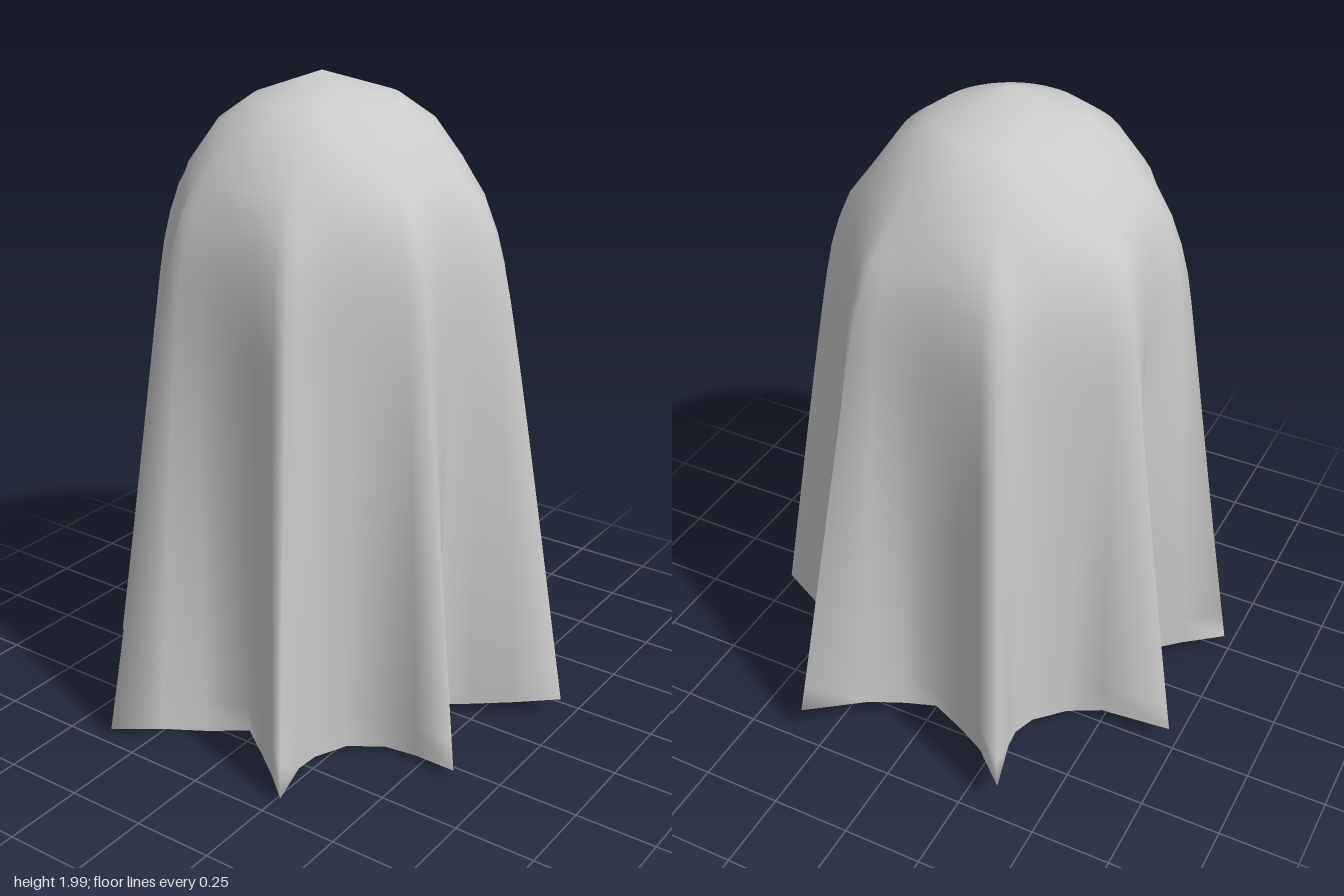
import * as THREE from 'three';

// Hem outline seen from above (x, z), one line per fold: tip, then the valley after it
const HEM = [
  [0.725, -0.17], [0.60, -0.10], [0.48, -0.04], [0.37, 0.03], [0.45, 0.12], [0.53, 0.21],
  [0.625, 0.31], [0.48, 0.29], [0.37, 0.29], [0.27, 0.35], [0.22, 0.45], [0.22, 0.53],
  [0.275, 0.695], [0.18, 0.61], [0.08, 0.53], [-0.03, 0.45], [-0.14, 0.53], [-0.25, 0.61],
  [-0.365, 0.715], [-0.30, 0.51], [-0.30, 0.42], [-0.35, 0.34], [-0.42, 0.30], [-0.52, 0.27],
  [-0.73, 0.26], [-0.61, 0.18], [-0.51, 0.10], [-0.41, 0.03], [-0.50, -0.06], [-0.60, -0.14],
  [-0.73, -0.24], [-0.50, -0.24], [-0.40, -0.29], [-0.32, -0.38], [-0.30, -0.46], [-0.31, -0.53],
  [-0.365, -0.715], [-0.24, -0.59], [-0.14, -0.53], [-0.02, -0.47], [0.07, -0.51], [0.17, -0.57],
  [0.325, -0.725], [0.31, -0.59], [0.31, -0.48], [0.35, -0.36], [0.47, -0.29], [0.60, -0.23],
];
const DOME = [[0.222, 1.92], [0.32, 1.85], [0.405, 1.73]]; // radius, height
const CX = -0.03, CZ = 0.025;
const SKIRT_ROWS = 18;
const { lerp } = THREE.MathUtils;

// Average each point with its neighbours, which softens the folds
function soften(loop) {
  const n = loop.length;
  return loop.map(([x, z], i) => {
    const p = loop[(i + n - 1) % n], q = loop[(i + 1) % n];
    return [(p[0] + 2 * x + q[0]) / 4, (p[1] + 2 * z + q[1]) / 4];
  });
}

function createSheetGeometry() {
  const positions = [CX, 2, 0.05];
  const indices = [];
  const n = HEM.length;
  const soft = soften(soften(soften(HEM)));
  const angles = soft.map(([x, z]) => Math.atan2(z - CZ, x - CX));
  const hemHeights = HEM.map(([x, z]) =>
    0.03 - 0.05 * z + 0.12 * Math.max(0, Math.hypot(x - CX, z - CZ) - 0.48));

  // Round top
  for (const [r, y] of DOME) {
    for (const a of angles) positions.push(CX + r * Math.cos(a), y, CZ + r * Math.sin(a));
  }

  // Hanging cloth: the rim spreads into soft folds, which sharpen toward the hem
  const [rimR, rimY] = DOME[DOME.length - 1];
  for (let j = 1; j <= SKIRT_ROWS; j++) {
    const s = j / SKIRT_ROWS;
    const spread = Math.pow(s, 0.57);
    const sharpness = Math.pow(s, 0.8);
    const r = rimR + 0.055 * Math.sin(Math.min(1, s * 4.8) * Math.PI / 2);
    for (let i = 0; i < n; i++) {
      const foldX = lerp(soft[i][0], HEM[i][0], sharpness);
      const foldZ = lerp(soft[i][1], HEM[i][1], sharpness);
      positions.push(
        lerp(CX + r * Math.cos(angles[i]), foldX, spread),
        lerp(rimY, hemHeights[i], s),
        lerp(CZ + r * Math.sin(angles[i]), foldZ, spread),
      );
    }
  }

  // Crown fan, then bands between the rings
  const rings = DOME.length + SKIRT_ROWS;
  for (let i = 0; i < n; i++) {
    const k = (i + 1) % n;
    indices.push(0, 1 + k, 1 + i);
    for (let j = 0; j < rings - 1; j++) {
      const a = 1 + j * n + i, b = 1 + j * n + k;
      indices.push(a, b, a + n, b, b + n, a + n);
    }
  }

  const geometry = new THREE.BufferGeometry();
  geometry.setAttribute('position', new THREE.Float32BufferAttribute(positions, 3));
  geometry.setIndex(indices);
  geometry.computeVertexNormals();
  return geometry;
}

export function createModel() {
  const group = new THREE.Group();
  group.name = 'drapedSheet';
  const material = new THREE.MeshStandardMaterial({ color: 0xcccccc, side: THREE.DoubleSide });
  const sheet = new THREE.Mesh(createSheetGeometry(), material);
  sheet.name = 'sheet';
  group.add(sheet);
  return group;
}
